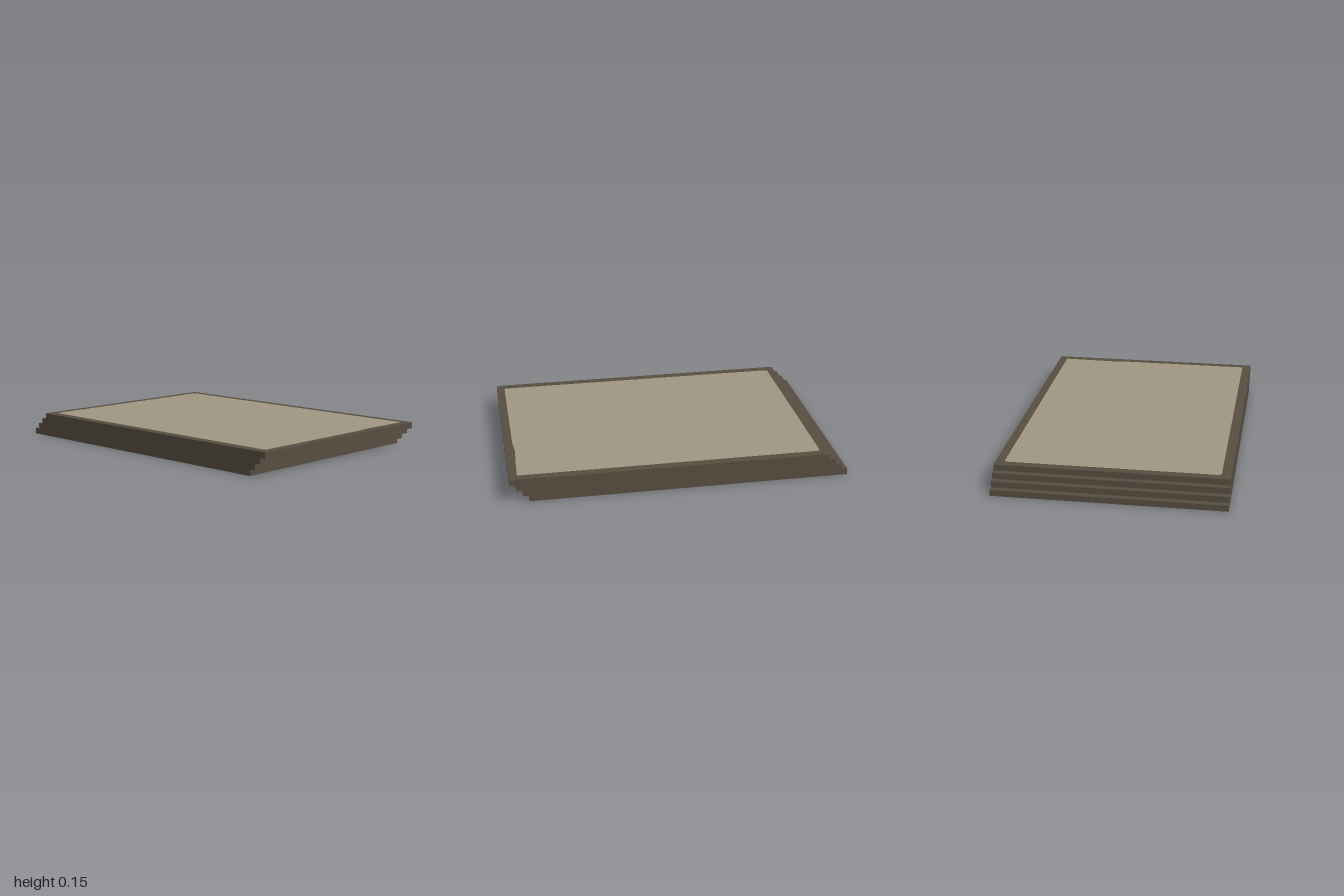
import * as THREE from 'three';

const LAYERS = 4, WIDTH = 1.89, DEPTH = 1.35, THICK = 0.036, STEP = 0.11 / 3;

// Worn rectangular inlay with small rounded corners, drawn in the XY plane
function inlayShape() {
  const x = 0.897, y = 0.622, r = 0.025;
  const s = new THREE.Shape();
  s.moveTo(-x + r, -y);
  s.lineTo(x - 0.01, -y);
  s.quadraticCurveTo(x, -y, x, -y + 0.01);
  // shallow chip in one short edge
  s.lineTo(x, 0.19);
  s.lineTo(x - 0.009, 0.3);
  s.lineTo(x - 0.004, 0.45);
  s.lineTo(x, y - 0.01);
  s.quadraticCurveTo(x, y, x - 0.01, y);
  s.lineTo(-x + r, y);
  s.quadraticCurveTo(-x, y, -x, y - r);
  s.lineTo(-x, -y + r);
  s.quadraticCurveTo(-x, -y, -x + r, -y);
  return s;
}

export function createModel() {
  const model = new THREE.Group();
  model.name = 'steppedSlab';
  const frame = new THREE.MeshStandardMaterial({ color: 0x574e40 });
  frame.name = 'dark brown';
  const panel = new THREE.MeshStandardMaterial({ color: 0xa09683 });
  panel.name = 'pale stone';

  // Four equal slabs, each shifted sideways over the one below
  const slab = new THREE.BoxGeometry(WIDTH, THICK, DEPTH);
  const offset = (i) => (i - (LAYERS - 1) / 2) * STEP;
  for (let i = 0; i < LAYERS; i++) {
    const mesh = new THREE.Mesh(slab, frame);
    mesh.name = `slab${i + 1}`;
    mesh.position.set(offset(i), (i + 0.5) * THICK, 0);
    model.add(mesh);
  }

  // Pale inlays on the top and underside
  const inlay = new THREE.ShapeGeometry(inlayShape(), 6);
  for (const top of [true, false]) {
    const mesh = new THREE.Mesh(inlay, panel);
    mesh.name = top ? 'topPanel' : 'bottomPanel';
    mesh.rotation.x = top ? -Math.PI / 2 : Math.PI / 2;
    mesh.position.set(offset(top ? LAYERS - 1 : 0), top ? LAYERS * THICK + 0.001 : -0.001, -0.002);
    model.add(mesh);
  }

  model.position.y = 0.001;
  return model;
}
